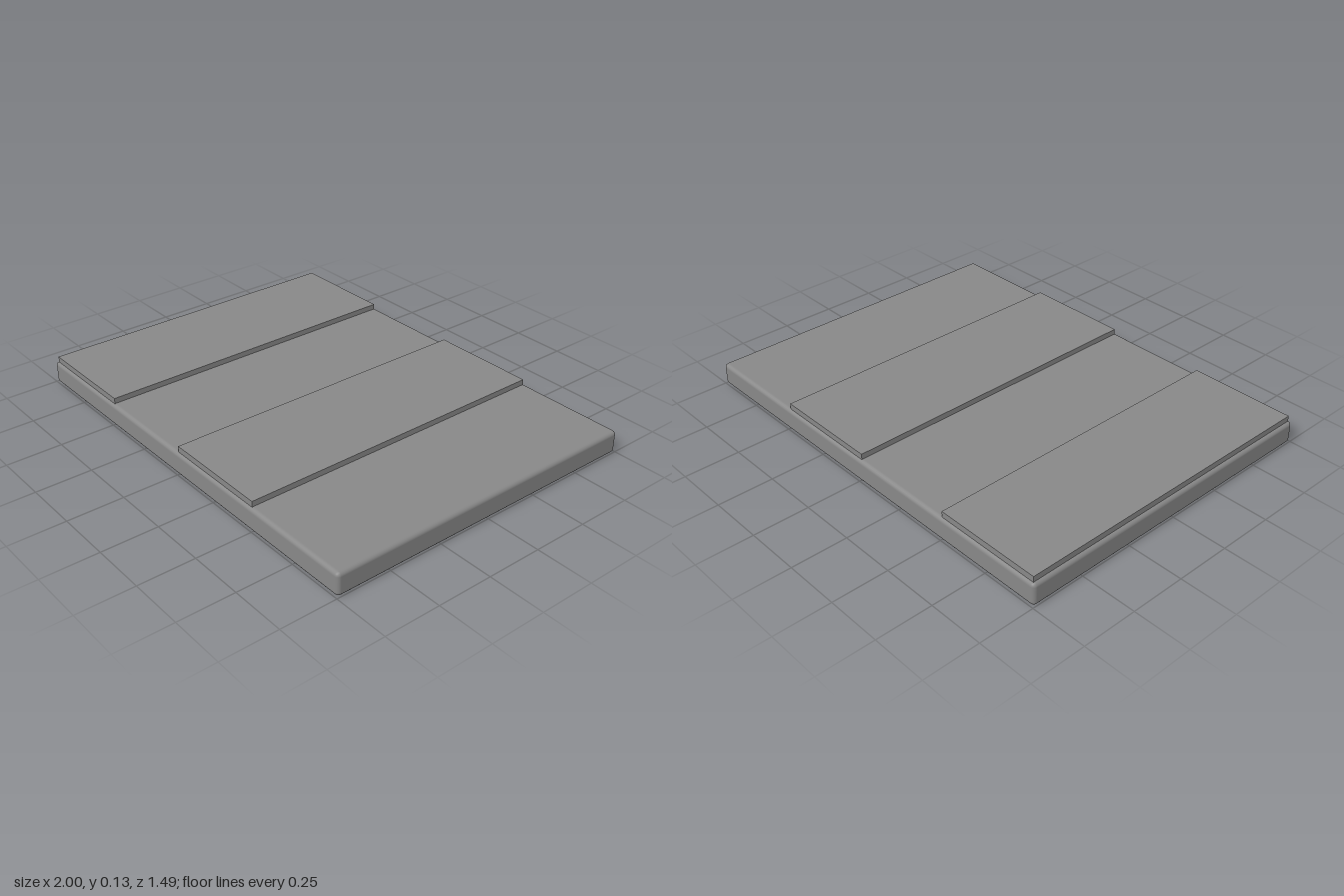
import * as THREE from 'three';
import { RoundedBoxGeometry } from 'three/addons/geometries/RoundedBoxGeometry.js';

const material = new THREE.MeshStandardMaterial({ color: 0x888888 });

export function createModel() {
  const group = new THREE.Group();
  const slabTop = 0.103, stripTop = 0.128, stripDepth = 1.47;

  // Base slab with softly rounded edges
  const base = new THREE.Mesh(new RoundedBoxGeometry(2, slabTop, 1.494, 2, 0.018), material);
  base.name = 'baseSlab';
  base.position.y = slabTop / 2;
  group.add(base);

  // Two raised strips, sunk slightly into the slab
  const strips = [
    { name: 'rightRaisedStrip', from: -0.985, to: -0.495 },
    { name: 'leftRaisedStrip', from: -0.005, to: 0.49 },
  ];
  for (const { name, from, to } of strips) {
    const height = stripTop - slabTop + 0.01;
    const strip = new THREE.Mesh(new THREE.BoxGeometry(to - from, height, stripDepth), material);
    strip.name = name;
    strip.position.set((from + to) / 2, stripTop - height / 2, 0);
    group.add(strip);
  }
  return group;
}
